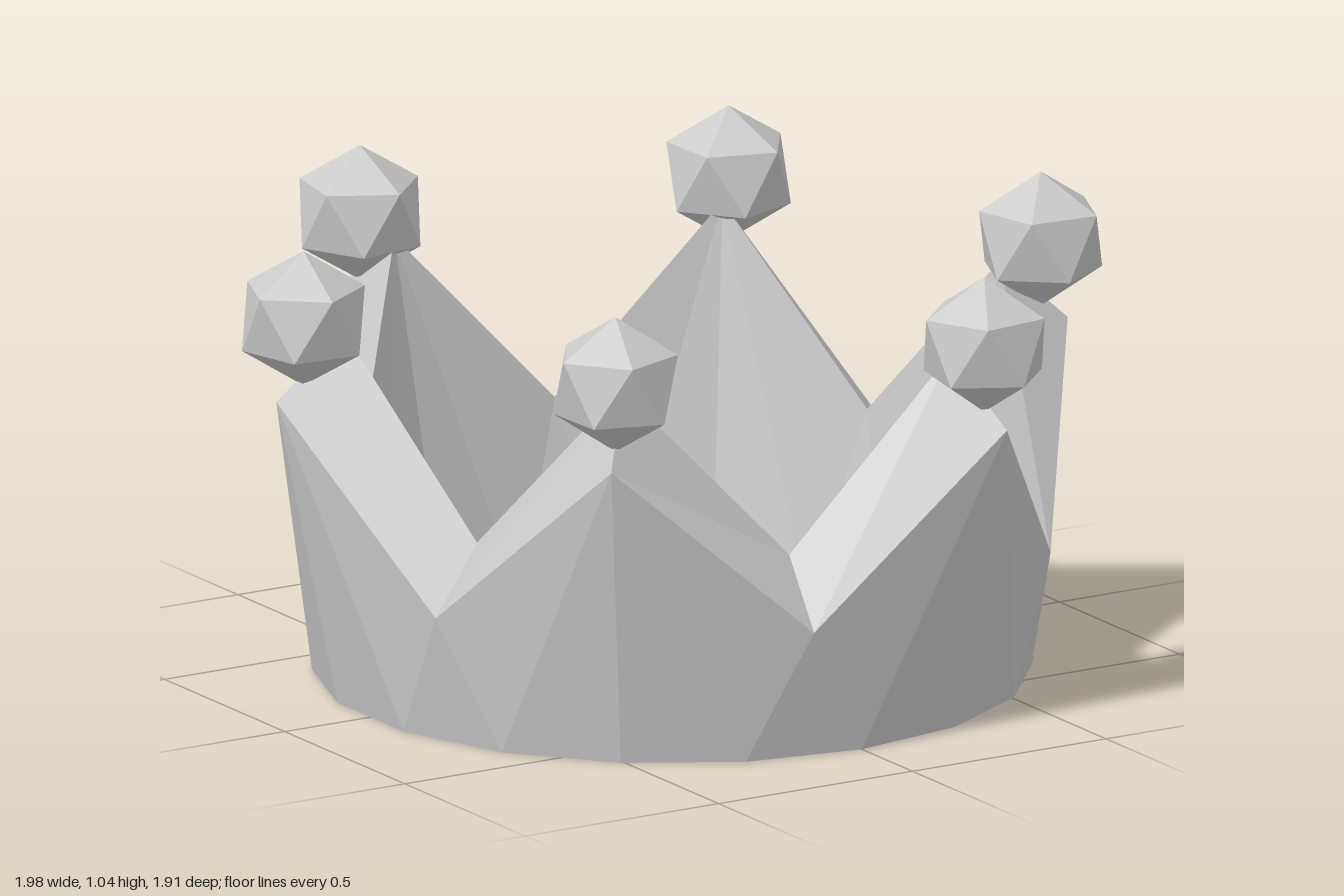
import * as THREE from 'three';

const PEAKS = 6;
const START = 10; // degrees, direction of the first peak

// Point at an angle (degrees), radius and height
const polar = (deg, r, y) => {
  const a = THREE.MathUtils.degToRad(deg);
  return [r * Math.cos(a), y, r * Math.sin(a)];
};

// Foot, peak and valley sizes for the two walls of the band
const OUTER = { foot: 0.79, peak: [0.935, 0.7], valley: [0.839, 0.295] };
const INNER = { foot: 0.63, peak: [0.775, 0.845], valley: [0.692, 0.435] };

// The corner points of one sixth of a wall, from peak to peak
function wallPoints(wall, deg) {
  return {
    feet: [0, 20, 40, 60].map((d) => polar(deg + d, wall.foot, 0)),
    p0: polar(deg, ...wall.peak),
    valley: polar(deg + 30, ...wall.valley),
    p1: polar(deg + 60, ...wall.peak),
  };
}

function bandGeometry() {
  const positions = [];
  const tri = (a, b, c) => positions.push(...a, ...b, ...c);
  const quad = (a, b, c, d) => { tri(a, b, c); tri(a, c, d); };

  // One wall section: fans of facets between the feet, peaks and valley
  const wallFaces = ({ feet: [f0, f1, f2, f3], p0, valley, p1 }, inward) => {
    const faces = [
      [f1, f0, p0], [f1, p0, valley], [f2, f1, valley],
      [f2, valley, p1], [f3, f2, p1],
    ];
    faces.forEach(([a, b, c]) => (inward ? tri(a, c, b) : tri(a, b, c)));
  };

  for (let i = 0; i < PEAKS; i++) {
    const deg = START + i * 360 / PEAKS;
    const o = wallPoints(OUTER, deg);
    const n = wallPoints(INNER, deg);
    wallFaces(o, false);
    wallFaces(n, true);
    // Sloping top rim, down to the valley and up again
    quad(o.valley, o.p0, n.p0, n.valley);
    quad(o.p1, o.valley, n.valley, n.p1);
    // Underside
    for (let k = 0; k < 3; k++) {
      quad(o.feet[k], o.feet[k + 1], n.feet[k + 1], n.feet[k]);
    }
  }

  const geometry = new THREE.BufferGeometry();
  geometry.setAttribute('position', new THREE.Float32BufferAttribute(positions, 3));
  geometry.computeVertexNormals();
  return geometry;
}

export function createModel() {
  const group = new THREE.Group();
  group.name = 'crown';
  const material = new THREE.MeshStandardMaterial({ color: 0xcccccc, flatShading: true });

  const band = new THREE.Mesh(bandGeometry(), material);
  band.name = 'band';
  group.add(band);

  // Faceted ball on each peak, one corner pointing straight up
  const ballGeometry = new THREE.IcosahedronGeometry(0.153, 0);
  ballGeometry.rotateZ(Math.atan(2 / (1 + Math.sqrt(5))));
  for (let i = 0; i < PEAKS; i++) {
    const deg = START + i * 360 / PEAKS;
    const ball = new THREE.Mesh(ballGeometry, material);
    ball.name = `ball${i + 1}`;
    ball.position.set(...polar(deg, 0.871, 0.885));
    ball.rotation.y = -THREE.MathUtils.degToRad(deg + 12);
    group.add(ball);
  }
  return group;
}
